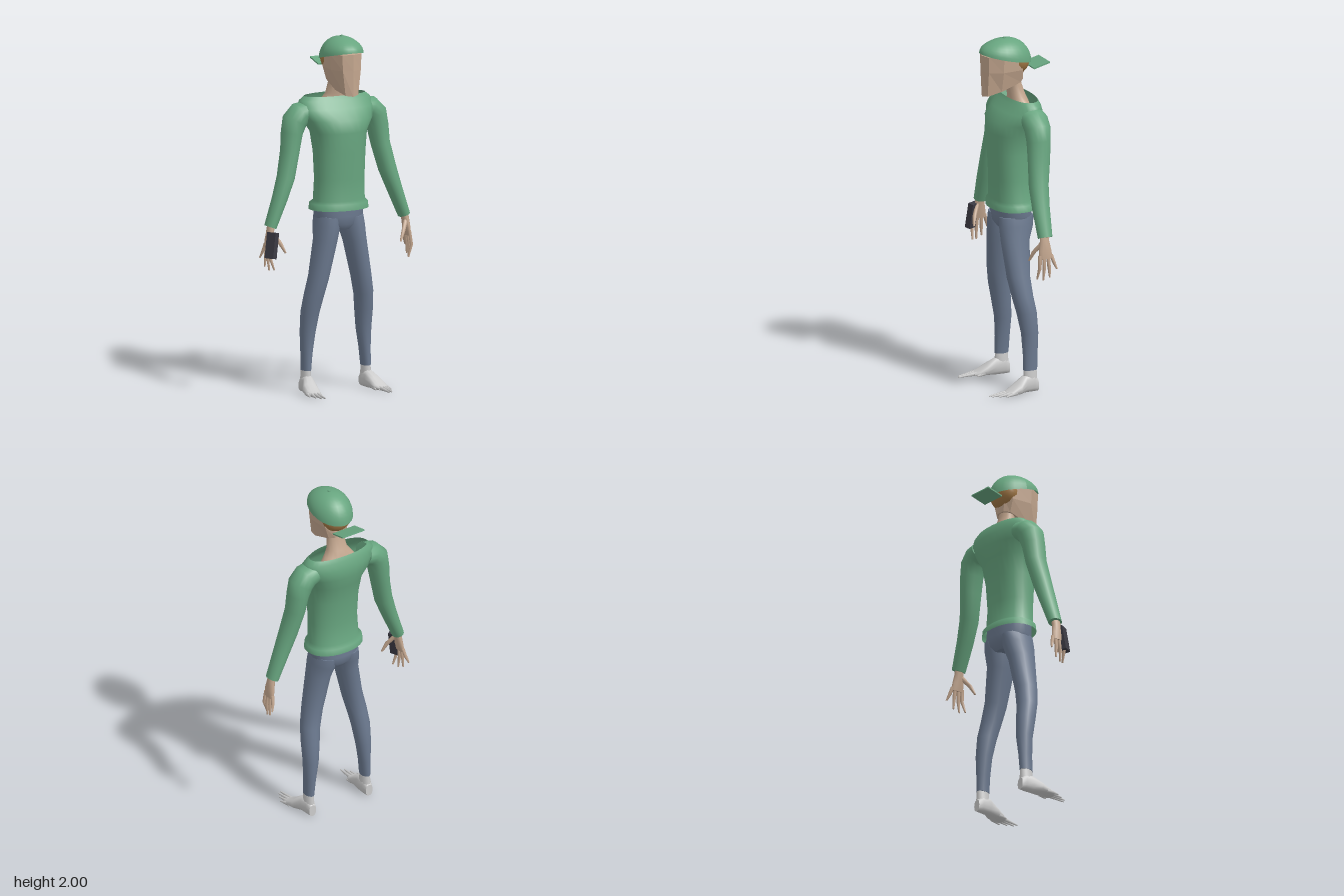
import * as THREE from 'three';

const mat = (name, color, double) => {
  const m = new THREE.MeshStandardMaterial({ color });
  m.name = name;
  if (double) m.side = THREE.DoubleSide;
  return m;
};

// Skin over elliptical sections [x, y, z, r across, r along axis] set square to their path
function limb(points, axis, { sides = 16, caps = true, power = 2 } = {}) {
  const c = points.map(p => new THREE.Vector3(p[0], p[1], p[2]));
  const pos = [], index = [], last = points.length - 1;
  const bend = a => Math.sign(a) * Math.abs(a) ** (2 / power);
  const rings = points.map((p, i) => {
    const t = c[Math.min(i + 1, last)].clone().sub(c[Math.max(i - 1, 0)]);
    const u = t.cross(axis).normalize();
    return Array.from({ length: sides }, (_, k) => {
      const a = k / sides * Math.PI * 2;
      return c[i].clone().addScaledVector(u, p[3] * bend(Math.cos(a)))
        .addScaledVector(axis, -p[4] * bend(Math.sin(a)));
    });
  });
  rings.forEach(r => r.forEach(v => pos.push(v.x, v.y, v.z)));
  for (let i = 0; i < last; i++) for (let k = 0; k < sides; k++) {
    const a = i * sides + k, b = i * sides + (k + 1) % sides;
    index.push(a, b, a + sides, b, b + sides, a + sides);
  }
  // end caps with their own corners, so the rim stays sharp
  if (caps) for (const e of [0, last]) {
    const base = pos.length / 3;
    [...rings[e], c[e]].forEach(v => pos.push(v.x, v.y, v.z));
    for (let k = 0; k < sides; k++) {
      const a = base + k, b = base + (k + 1) % sides, m = base + sides;
      index.push(...(e ? [a, b, m] : [b, a, m]));
    }
  }
  const g = new THREE.BufferGeometry();
  g.setAttribute('position', new THREE.Float32BufferAttribute(pos, 3));
  g.setIndex(index);
  g.computeVertexNormals();
  return g;
}

// Faceted face: one outline repeated at three levels, with the jaw rising to the back
function faceGeometry() {
  const half = [[0, 0.162], [0.06, 0.145], [0.098, 0.07], [0.085, -0.05], [0.04, -0.075]];
  const outline = [...half, ...half.slice(1).reverse().map(([x, z]) => [-x, z])];
  const n = outline.length, pos = [], index = [];
  const levels = [[z => 1.735 - (z + 0.02) * 0.33, 0.66], [() => 1.82, 0.93], [() => 1.91, 1]];
  for (const [y, s] of levels) for (const [x, z] of outline) pos.push(x * s, y(z), z);
  for (let i = 0; i < 2; i++) for (let k = 0; k < n; k++) {
    const a = i * n + k, b = i * n + (k + 1) % n;
    index.push(a, b, a + n, b, b + n, a + n);
  }
  for (let k = 1; k < n - 1; k++) index.push(0, k + 1, k, 2 * n, 2 * n + k, 2 * n + k + 1);
  const g = new THREE.BufferGeometry();
  g.setAttribute('position', new THREE.Float32BufferAttribute(pos, 3));
  g.setIndex(index);
  const flat = g.toNonIndexed();
  flat.computeVertexNormals();
  return flat;
}

// Dome whose rim slopes down toward the back
function capGeometry() {
  const g = new THREE.SphereGeometry(1, 24, 10, 0, Math.PI * 2, 0, Math.PI / 2);
  const p = g.attributes.position;
  for (let i = 0; i < p.count; i++) {
    const z = 0.02 + p.getZ(i) * 0.15, rim = 1.885 + (z - 0.02) * 0.23;
    p.setXYZ(i, p.getX(i) * 0.116, rim + (1.995 - rim) * p.getY(i), z);
  }
  g.computeVertexNormals();
  return g;
}

export function createModel() {
  const model = new THREE.Group();
  const green = mat('green cloth', 0x68a680, true);
  const denim = mat('blue grey denim', 0x6c7a90);
  const skin = mat('skin', 0xc4a78f);
  const white = mat('pale grey feet', 0xcbcbcb);
  const brown = mat('brown hair', 0xa27845);
  const dark = mat('dark device', 0x3c3b44);
  const X = new THREE.Vector3(1, 0, 0), Y = new THREE.Vector3(0, 1, 0), Z = new THREE.Vector3(0, 0, 1);
  const add = (name, geometry, material, parent = model) => {
    const m = new THREE.Mesh(geometry, material);
    m.name = name;
    parent.add(m);
    return m;
  };

  // Shirt, from the loose hem up to the wide open collar
  add('shirt', limb([
    [0, 1.027, -0.012, 0.172, 0.126], [0, 1.062, -0.012, 0.168, 0.123], [0, 1.078, -0.008, 0.149, 0.108],
    [0, 1.2, -0.003, 0.145, 0.104], [0, 1.35, -0.005, 0.15, 0.115], [0, 1.46, -0.015, 0.163, 0.127],
    [0, 1.53, -0.027, 0.205, 0.137], [0, 1.59, -0.05, 0.23, 0.112],
    [0, 1.635, -0.06, 0.215, 0.088], [0, 1.658, -0.06, 0.185, 0.076],
  ], Z, { sides: 28, caps: false, power: 2.2 }), green);

  // Neck and head
  add('neck', limb([
    [0, 1.585, -0.06, 0.12, 0.06], [0, 1.635, -0.055, 0.085, 0.053], [0, 1.67, -0.045, 0.06, 0.048],
    [0, 1.73, -0.03, 0.052, 0.042], [0, 1.8, -0.02, 0.052, 0.045],
  ], Z), skin);
  add('face', faceGeometry(), skin);
  const hair = add('hair', new THREE.SphereGeometry(1, 20, 14), brown);
  hair.scale.set(0.09, 0.088, 0.07);
  hair.position.set(0, 1.87, -0.046);

  // Cap worn backwards
  const cap = new THREE.Group();
  cap.name = 'cap';
  model.add(cap);
  add('capCrown', capGeometry(), green, cap);
  add('capButton', new THREE.CylinderGeometry(0.009, 0.011, 0.008, 6), green, cap).position.set(0, 1.996, 0.026);
  const brim = add('capBrim', new THREE.BoxGeometry(0.146, 0.008, 0.1), green, cap);
  brim.position.set(0.004, 1.831, -0.169);
  brim.rotation.x = 0.25;

  // Pants seat
  add('pantsSeat', limb([
    [0, 0.915, -0.012, 0.075, 0.075], [0, 0.945, -0.014, 0.125, 0.098],
    [0, 0.99, -0.015, 0.143, 0.104], [0, 1.07, -0.01, 0.144, 0.1],
  ], Z, { sides: 24, power: 2.2 }), denim);

  for (const s of [1, -1]) {
    const side = s > 0 ? 'left' : 'right';
    const put = (part, pts, axis, material, opts) =>
      add(side + part, limb(pts.map(([x, ...r]) => [x * s, ...r]), axis, opts), material);

    // Sleeve
    put('Sleeve', [
      [0.17, 1.575, -0.06, 0.06, 0.075], [0.215, 1.562, -0.06, 0.068, 0.076], [0.25, 1.525, -0.06, 0.07, 0.073],
      [0.268, 1.46, -0.058, 0.06, 0.068], [0.283, 1.36, -0.053, 0.052, 0.064], [0.317, 1.22, -0.036, 0.05, 0.056],
      [0.36, 1.1, -0.03, 0.042, 0.05], [0.418, 0.95, -0.028, 0.033, 0.042],
    ], Z, green, { sides: 16 });

    // Hand: palm, four fingers and a thumb reaching inward
    put('Palm', [
      [0.412, 0.98, -0.025, 0.02, 0.026], [0.422, 0.93, -0.022, 0.02, 0.028],
      [0.43, 0.88, -0.022, 0.018, 0.038], [0.436, 0.835, -0.024, 0.013, 0.04],
    ], Z, skin, { sides: 12 });
    [[0.01, 0.022, 0.42, 0.718], [-0.014, -0.008, 0.436, 0.712],
      [-0.037, -0.044, 0.444, 0.728], [-0.056, -0.083, 0.455, 0.772]].forEach(([z0, z1, x, y], i) =>
      put('Finger' + (i + 1), [
        [0.434, 0.855, z0, 0.01, 0.011], [0.442, (0.85 + y) / 2, (z0 + z1) / 2, 0.01, 0.01],
        [x, y, z1, 0.005, 0.005],
      ], Z, skin, { sides: 6 }));
    put('Thumb', [
      [0.42, 0.92, -0.008, 0.014, 0.014], [0.385, 0.865, 0.026, 0.012, 0.012], [0.36, 0.812, 0.042, 0.006, 0.006],
    ], Z, skin, { sides: 6 });

    // Trouser leg
    put('TrouserLeg', [
      [0.072, 0.985, -0.014, 0.066, 0.1], [0.078, 0.93, -0.01, 0.07, 0.099], [0.092, 0.85, 0.002, 0.063, 0.083],
      [0.132, 0.65, 0.001, 0.057, 0.066], [0.156, 0.54, -0.013, 0.055, 0.06], [0.168, 0.45, -0.032, 0.052, 0.057],
      [0.175, 0.335, -0.047, 0.043, 0.049], [0.182, 0.22, -0.047, 0.031, 0.043], [0.187, 0.125, -0.045, 0.026, 0.041],
    ], Z, denim);

    // Bare foot: ankle, wedge and long toes
    put('Ankle', [
      [0.188, 0.05, -0.045, 0.029, 0.043], [0.187, 0.14, -0.045, 0.023, 0.038],
    ], Z, white, { sides: 12 });
    put('Foot', [
      [0.188, 0.035, -0.088, 0.022, 0.034], [0.188, 0.05, -0.06, 0.03, 0.049], [0.19, 0.05, -0.01, 0.033, 0.049],
      [0.205, 0.033, 0.04, 0.044, 0.032], [0.21, 0.018, 0.085, 0.044, 0.017], [0.213, 0.012, 0.115, 0.03, 0.01],
    ], Y, white, { sides: 14, power: 2.5 });
    [[0.175, 0.17, 0.11], [0.194, 0.2, 0.212], [0.212, 0.219, 0.203],
      [0.228, 0.236, 0.168], [0.242, 0.255, 0.13]].forEach(([x0, x1, z], i) =>
      put('Toe' + (i + 1), [
        [x0, 0.018, 0.06, 0.01, 0.013], [(x0 + x1) / 2, 0.014, (0.06 + z) / 2, 0.008, 0.01],
        [x1, 0.008, z, 0.003, 0.004],
      ], Y, white, { sides: 6 }));
  }

  // Device held in the right hand
  const device = add('handheldDevice', new THREE.BoxGeometry(0.034, 0.145, 0.058), dark);
  device.position.set(-0.433, 0.855, 0.018);
  device.rotation.set(0, 0.46, -0.17);

  return model;
}
